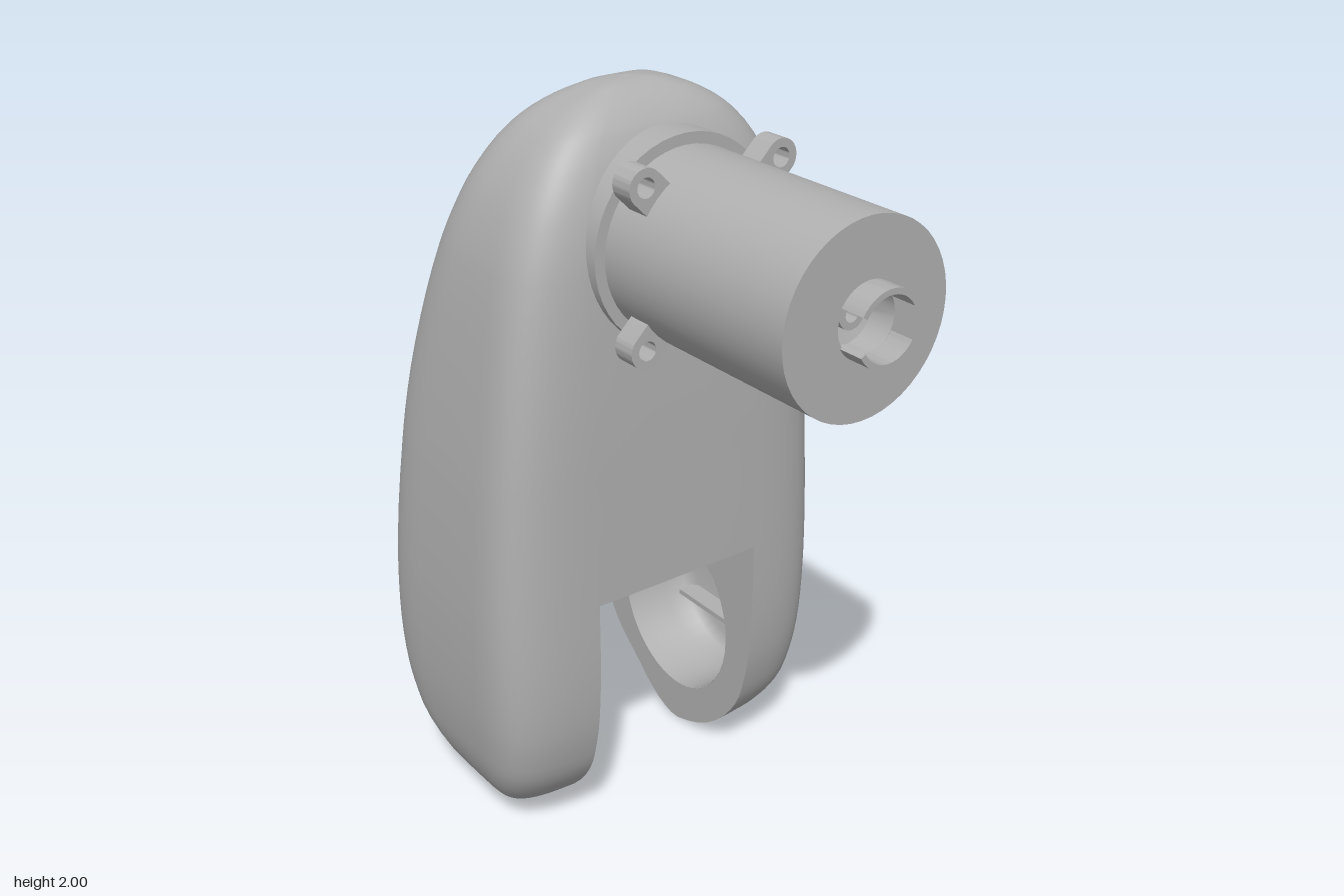
import * as THREE from 'three';
import { mergeVertices, toCreasedNormals } from 'three/addons/utils/BufferGeometryUtils.js';

const grey = new THREE.MeshStandardMaterial({ color: 0xb0b0b0, side: THREE.DoubleSide });
grey.name = 'plain grey';

// housing key levels: height, half width, front z, back z
const KEYS = [
  [0, 0.258, -0.325, -0.37], [0.012, 0.32, -0.285, -0.405], [0.04, 0.378, -0.218, -0.455],
  [0.1, 0.435, -0.135, -0.525], [0.2, 0.481, -0.055, -0.635], [0.3, 0.5, -0.02, -0.685],
  [0.4, 0.51, -0.002, -0.705], [0.55, 0.515, 0.008, -0.71], [0.74, 0.512, 0.01, -0.698],
  [1.04, 0.493, 0.01, -0.655], [1.18, 0.479, 0.01, -0.63], [1.4, 0.451, 0.007, -0.574],
  [1.6, 0.417, 0.002, -0.51], [1.7, 0.388, -0.006, -0.474], [1.8, 0.343, -0.024, -0.431],
  [1.9, 0.266, -0.06, -0.369], [1.95, 0.194, -0.097, -0.318], [1.98, 0.122, -0.135, -0.27],
  [1.995, 0.06, -0.166, -0.234], [2, 0.002, -0.199, -0.201],
];
const SLOT_X = 0.25, SLOT_Y = 0.74;
const HOLE = { y: 1.11, r: 0.042, t: 0.32, low: 1.04, high: 1.18 };
const COLS = [-1, -0.66, -HOLE.t, 0, HOLE.t, 0.66, 1];

// smooth curve through the key levels
const spline = new THREE.CubicInterpolant(KEYS.map((k) => k[0]), KEYS.flatMap((k) => k.slice(1)), 3);
const levelAt = (y) => [y, ...spline.evaluate(y)];
const LEVELS = KEYS.slice(0, -1).flatMap(([y], i) => [0, 1, 2].map((s) => levelAt(y + ((KEYS[i + 1][0] - y) * s) / 3)));
LEVELS.push(KEYS.at(-1));

const seamZ = (y) => -0.2 - 0.07 * (2 - y);
const power = (y) => 5.3 - 1.6 * THREE.MathUtils.smoothstep(y, 1.2, 2);
const innerX = ([y, w]) => (y <= SLOT_Y ? SLOT_X : Math.min(SLOT_X, 0.6 * w));

// surface z at x on one level; side +1 is front, -1 is back
function skinZ([y, w, zf, zb], x, side) {
  const n = power(y), zc = seamZ(y);
  const k = Math.pow(Math.max(0, 1 - Math.pow(Math.abs(x) / w, n)), 1 / n);
  return zc + ((side > 0 ? zf : zb) - zc) * k;
}

// outer side of one level, from the front round to the back
function sideLoop(level) {
  const [y, w, zf, zb] = level, n = power(y), zc = seamZ(y), x0 = innerX(level);
  const a0 = Math.acos(Math.pow(x0 / w, n / 2)), points = [];
  for (let j = 0; j <= 40; j++) {
    const a = a0 * (1 - j / 20), s = Math.pow(Math.abs(Math.sin(a)), 2 / n);
    points.push([w * Math.pow(Math.cos(a), 2 / n), y, zc + (a > 0 ? zf - zc : zb - zc) * s]);
  }
  return points;
}

function addGrid(out, rows, skip = () => false) {
  for (let i = 0; i + 1 < rows.length; i++) {
    for (let j = 0; j + 1 < rows[i].length; j++) {
      if (skip(i, j)) continue;
      const a = rows[i][j], b = rows[i][j + 1], c = rows[i + 1][j + 1], d = rows[i + 1][j];
      out.push(...a, ...b, ...c, ...a, ...c, ...d);
    }
  }
}

function gridGeometry(positions) {
  const g = new THREE.BufferGeometry();
  g.setAttribute('position', new THREE.Float32BufferAttribute(positions, 3));
  const welded = mergeVertices(g, 1e-4);
  welded.computeVertexNormals();
  return welded;
}

function add(parent, name, geometry, x = 0, y = 0, z = 0) {
  const mesh = new THREE.Mesh(geometry, grey);
  mesh.name = name;
  mesh.position.set(x, y, z);
  parent.add(mesh);
  return mesh;
}

function ellipsePath(cx, cy, rx, ry) {
  return new THREE.Path().absellipse(cx, cy, rx, ry, 0, Math.PI * 2, true);
}

function buildHousing() {
  const group = new THREE.Group();
  group.name = 'housing';
  const upper = LEVELS.filter((l) => l[0] >= SLOT_Y);
  const strip = (l, side) => COLS.map((t) => [t * innerX(l), l[0], skinZ(l, t * innerX(l), side)]);

  // smooth outer shell with an open cell for the screw hole
  const shell = [];
  const sides = LEVELS.map(sideLoop);
  const atHole = (i, j) => (j === 2 || j === 3) && upper[i][0] > HOLE.low - 0.01 && upper[i][0] < HOLE.high - 0.01;
  addGrid(shell, sides);
  addGrid(shell, sides.map((row) => row.map(([x, y, z]) => [-x, y, z]).reverse()));
  addGrid(shell, upper.map((l) => strip(l, 1)));
  addGrid(shell, upper.map((l) => strip(l, -1).reverse()), atHole);
  add(group, 'shell', gridGeometry(shell));

  // back panel around the screw hole
  const hx = HOLE.t * SLOT_X;
  const corners = [[-hx, HOLE.low], [hx, HOLE.low], [hx, HOLE.high], [-hx, HOLE.high]];
  const panel = new THREE.Shape(corners.map((p) => new THREE.Vector2(...p)));
  panel.holes.push(ellipsePath(0, HOLE.y, HOLE.r, HOLE.r));
  const panelGeo = new THREE.ShapeGeometry(panel, 24);
  const pos = panelGeo.attributes.position;
  for (let i = 0; i < pos.count; i++) pos.setZ(i, skinZ(levelAt(pos.getY(i)), pos.getX(i), -1));
  panelGeo.setIndex([...panelGeo.index.array].reverse());
  panelGeo.computeVertexNormals();
  add(group, 'screwHolePanel', panelGeo);
  const bore = new THREE.CylinderGeometry(HOLE.r, HOLE.r, 0.06, 24, 1, true).rotateX(Math.PI / 2);
  add(group, 'screwHoleBore', bore, 0, HOLE.y, -0.605);
  add(group, 'screwHoleFloor', new THREE.CircleGeometry(HOLE.r, 24).rotateY(Math.PI), 0, HOLE.y, -0.58);

  // flat roof of the slot
  const roof = [];
  addGrid(roof, [strip(upper[0], -1), strip(upper[0], 1)]);
  add(group, 'slotRoof', gridGeometry(roof));

  for (const s of [1, -1]) group.add(buildLegInside(s));
  return group;
}

// inner wall of one leg with its oval pocket
function buildLegInside(s) {
  const group = new THREE.Group();
  group.name = s > 0 ? 'leftLegInside' : 'rightLegInside';
  const lower = LEVELS.filter((l) => l[0] <= SLOT_Y);
  const edge = (side) => lower.map((l) => new THREE.Vector2(-skinZ(l, SLOT_X, side), l[0]));
  const wall = new THREE.Shape([...edge(1), ...edge(-1).reverse()]);
  const cz = -0.345, cy = 0.385, rz = 0.24, ry = 0.26;
  wall.holes.push(ellipsePath(-cz, cy, rz, ry));
  add(group, 'innerWall', new THREE.ShapeGeometry(wall, 40).rotateY(Math.PI / 2), s * SLOT_X);

  // pocket lining narrows towards a closed end
  const rings = [[SLOT_X, 1], [0.38, 0.97], [0.44, 0.88], [0.465, 0.75], [0.475, 0.001]];
  const rows = rings.map(([x, k]) => Array.from({ length: 41 }, (_, j) => {
    const a = (j / 40) * Math.PI * 2 * s;
    return [s * x, cy + k * ry * Math.sin(a), cz + k * rz * Math.cos(a)];
  }));
  const lining = [];
  addGrid(lining, rows);
  add(group, 'pocketLining', gridGeometry(lining));
  for (const y of [0.29, 0.48]) {
    add(group, 'pocketRib', new THREE.BoxGeometry(0.06, 0.015, 0.36), s * 0.435, y, cz);
  }
  return group;
}

function buildMotor() {
  const group = new THREE.Group();
  group.name = 'motor';
  group.position.set(0.006, 1.652, 0);

  // can with a recessed front end
  const profile = [[0.23, -0.1], [0.23, 0.645], [0.08, 0.645], [0.075, 0.58], [0.035, 0.565], [0.035, 0.6], [0.018, 0.6], [0.018, 0.56], [0, 0.56]];
  const can = new THREE.LatheGeometry(profile.map((p) => new THREE.Vector2(...p)), 48).rotateX(Math.PI / 2);
  add(group, 'can', toCreasedNormals(can, 0.6));

  // mounting collar
  const collar = new THREE.CylinderGeometry(0.258, 0.258, 0.125, 48).rotateX(Math.PI / 2);
  add(group, 'mountingCollar', collar, 0, 0, -0.0375);

  // four screw lugs, each with a through hole
  const lug = new THREE.Shape();
  lug.moveTo(-0.08, -0.045);
  lug.lineTo(0, -0.045);
  lug.absarc(0, 0, 0.045, -Math.PI / 2, Math.PI / 2, false);
  lug.lineTo(-0.08, 0.045);
  lug.holes.push(ellipsePath(0, 0, 0.024, 0.024));
  const lugGeo = toCreasedNormals(new THREE.ExtrudeGeometry(lug, { depth: 0.065, bevelEnabled: false, curveSegments: 16 }), 0.6);
  for (let i = 0; i < 4; i++) {
    const a = Math.PI / 4 + (i * Math.PI) / 2;
    add(group, 'screwLug', lugGeo, 0.272 * Math.cos(a), 0.272 * Math.sin(a), 0.07).rotation.z = a;
  }

  // two curved prongs round the front recess
  const prong = new THREE.Shape();
  const a0 = Math.PI / 6, a1 = Math.PI - a0;
  prong.absarc(0, 0, 0.09, a0, a1, false);
  prong.absarc(0, 0, 0.076, a1, a0, true);
  const prongGeo = toCreasedNormals(new THREE.ExtrudeGeometry(prong, { depth: 0.07, bevelEnabled: false, curveSegments: 20 }), 0.6);
  for (const turn of [0, Math.PI]) add(group, 'prong', prongGeo, 0.006, 0, 0.64).rotation.z = turn;
  return group;
}

export function createModel() {
  const model = new THREE.Group();
  model.name = 'motorHousing';
  model.add(buildHousing(), buildMotor());
  return model;
}
